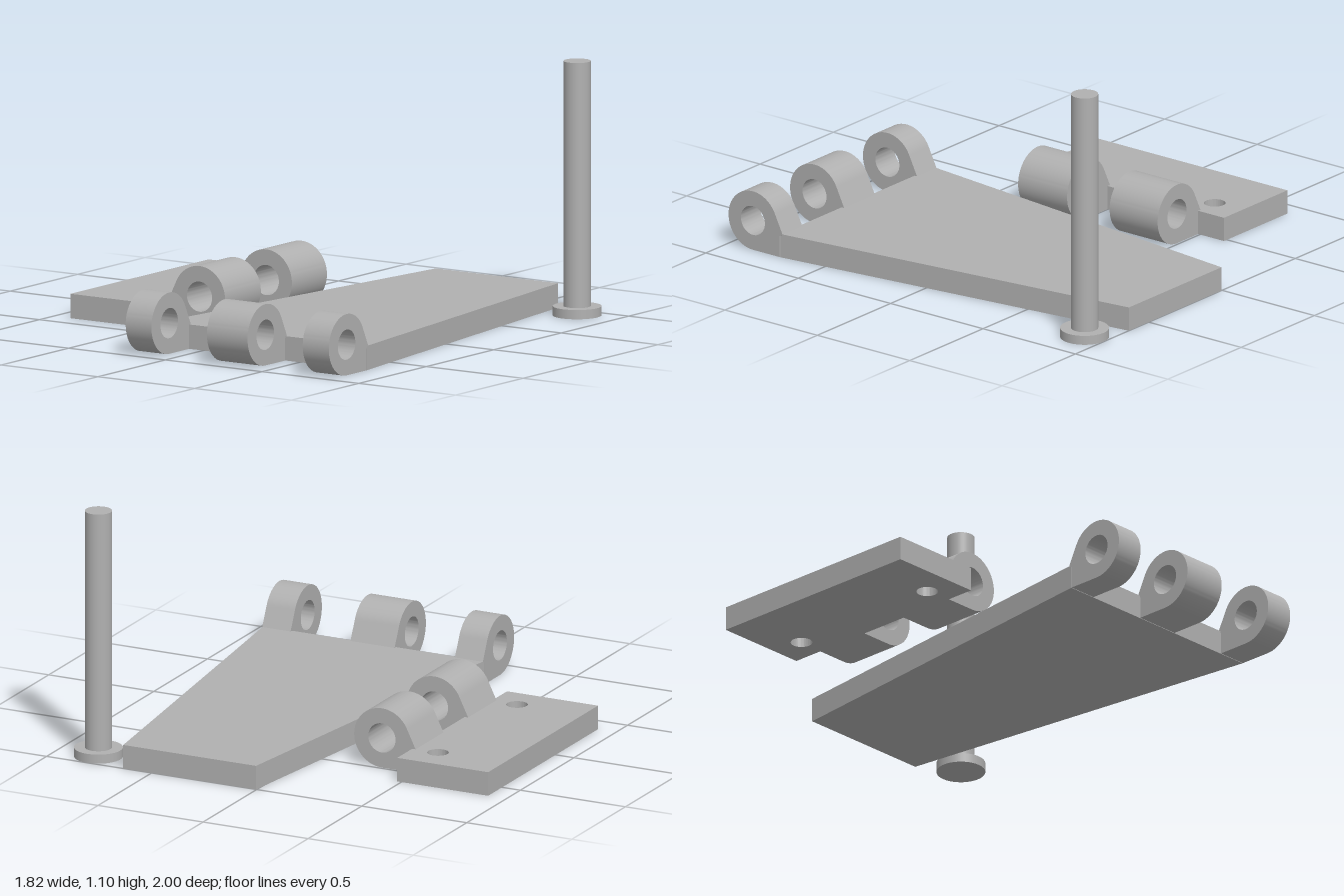
import * as THREE from 'three';
import { toCreasedNormals } from 'three/addons/utils/BufferGeometryUtils.js';

const PLATE_H = 0.105;
const EYE_R = 0.132;

const steel = new THREE.MeshStandardMaterial({ color: 0xb0b0b0 });
steel.name = 'plain grey';

function extrude(name, shape, depth) {
  const geometry = new THREE.ExtrudeGeometry(shape, { depth, bevelEnabled: false, curveSegments: 32 });
  const mesh = new THREE.Mesh(toCreasedNormals(geometry, 0.5), steel);
  mesh.name = name;
  return mesh;
}

// Flat plate from [x, z] corners, with round [x, z] screw holes
function plate(name, corners, holes = []) {
  const shape = new THREE.Shape(corners.map(([x, z]) => new THREE.Vector2(x, -z)));
  for (const [x, z] of holes) {
    shape.holes.push(new THREE.Path().absarc(x, -z, 0.046, 0, Math.PI * 2, true));
  }
  const mesh = extrude(name, shape, PLATE_H);
  mesh.rotation.x = -Math.PI / 2;
  return mesh;
}

// Hinge eye: bored ring that blends tangentially into the plate edge
function knuckle(name, width) {
  const shape = new THREE.Shape();
  shape.moveTo(-0.145, 0);
  shape.lineTo(0, 0);
  shape.absarc(0, EYE_R, EYE_R, -Math.PI / 2, THREE.MathUtils.degToRad(154), false);
  shape.lineTo(-0.16, PLATE_H);
  shape.lineTo(-0.145, PLATE_H - 0.01);
  shape.closePath();
  shape.holes.push(new THREE.Path().absarc(0, EYE_R, 0.065, 0, Math.PI * 2, true));
  return extrude(name, shape, width);
}

function cylinder(name, radius, y0, y1) {
  const mesh = new THREE.Mesh(new THREE.CylinderGeometry(radius, radius, y1 - y0, 48), steel);
  mesh.name = name;
  mesh.position.y = (y0 + y1) / 2;
  return mesh;
}

export function createModel() {
  const model = new THREE.Group();
  model.name = 'hingeKit';

  // Small mounting leaf with two screw holes and two eyes
  const smallLeaf = new THREE.Group();
  smallLeaf.name = 'smallLeaf';
  smallLeaf.add(plate('smallPlate',
    [[-0.913, 0.395], [-0.48, 0.395], [-0.48, -0.63], [-0.913, -0.63]],
    [[-0.6, -0.485], [-0.6, 0.253]]));
  for (const [z0, z1] of [[-0.49, -0.23], [0, 0.265]]) {
    const eye = knuckle('smallLeafKnuckle', z1 - z0);
    eye.position.set(-0.336, 0, z0);
    smallLeaf.add(eye);
  }

  // Long tapered leaf with three eyes
  const longLeaf = new THREE.Group();
  longLeaf.name = 'longLeaf';
  longLeaf.add(plate('taperedPlate',
    [[-0.205, 0.72], [0.845, 0.72], [0.635, -1], [0.003, -1]]));
  for (const [x0, x1] of [[-0.205, -0.072], [0.215, 0.425], [0.71, 0.845]]) {
    const eye = knuckle('longLeafKnuckle', x1 - x0);
    eye.rotation.y = -Math.PI / 2;
    eye.position.set(x1, 0, 0.868);
    longLeaf.add(eye);
  }

  // Loose hinge pin standing on its head
  const pin = new THREE.Group();
  pin.name = 'hingePin';
  pin.add(cylinder('pinHead', 0.104, 0, 0.04), cylinder('pinShaft', 0.058, 0.04, 1.095));
  pin.position.set(0.806, 0, -0.896);

  model.add(smallLeaf, longLeaf, pin);
  return model;
}
